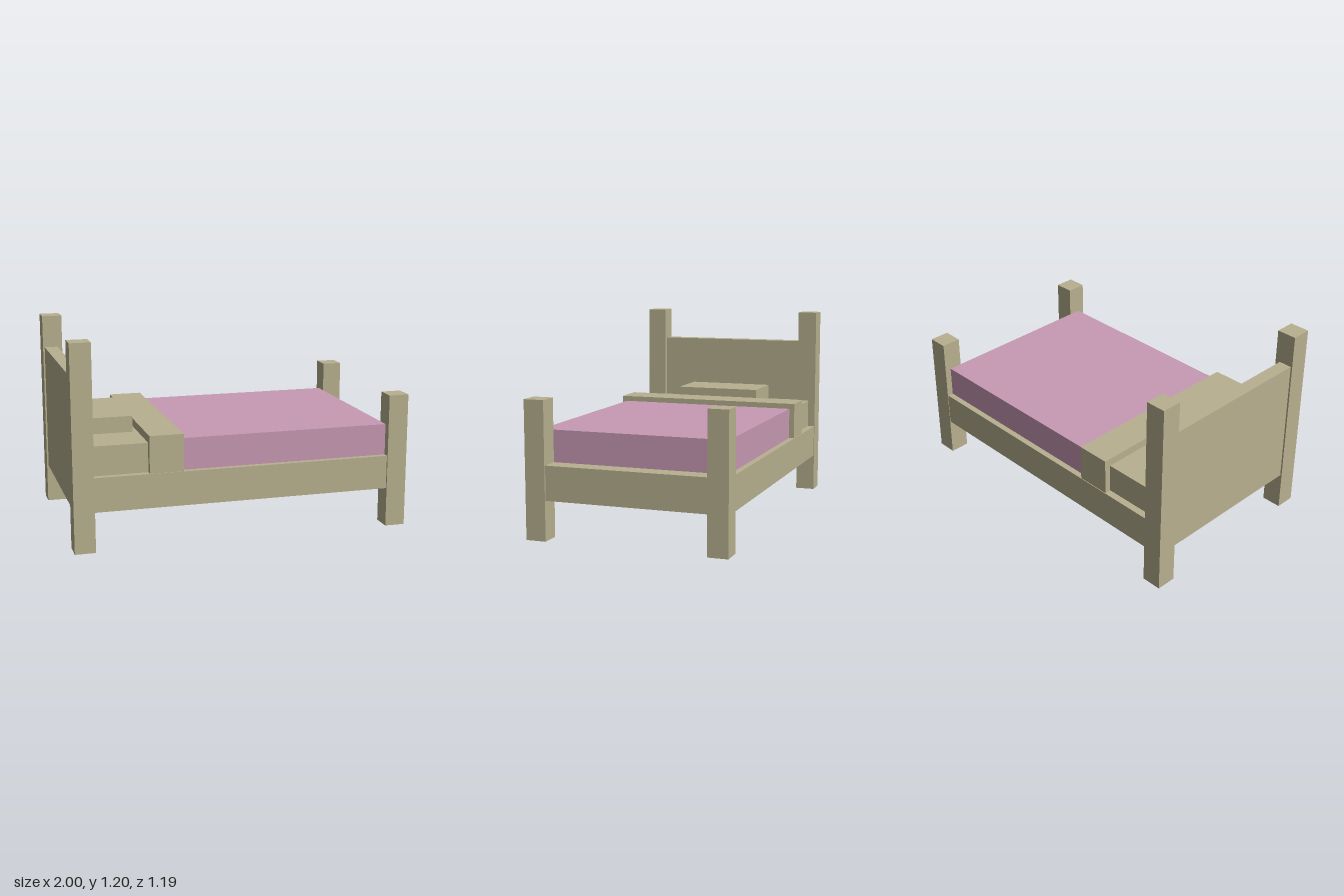
import * as THREE from 'three';

export function createModel() {
  const bed = new THREE.Group();
  bed.name = 'bed';
  const beige = new THREE.MeshStandardMaterial({ color: 0xb8b08f });
  beige.name = 'beige';
  const pink = new THREE.MeshStandardMaterial({ color: 0xc89ab4 });
  pink.name = 'pink';

  // Adds a box spanning the given [min, max] ranges
  function block(name, material, [x0, x1], [y0, y1], [z0, z1]) {
    const mesh = new THREE.Mesh(new THREE.BoxGeometry(x1 - x0, y1 - y0, z1 - z0), material);
    mesh.position.set((x0 + x1) / 2, (y0 + y1) / 2, (z0 + z1) / 2);
    mesh.name = name;
    bed.add(mesh);
  }

  // Corner posts: tall at the head, short at the foot
  for (const z of [[-0.597, -0.477], [0.477, 0.597]]) {
    block('headPost', beige, [-1, -0.88], [0, 1.195], z);
    block('footPost', beige, [0.88, 1], [0, 0.8], z);
  }

  // Solid base and headboard
  block('base', beige, [-0.99, 0.99], [0.232, 0.432], [-0.594, 0.587]);
  block('headboard', beige, [-0.99, -0.91], [0.432, 1], [-0.552, 0.546]);

  // Bedding
  block('mattress', beige, [-0.91, -0.5], [0.432, 0.603], [-0.552, 0.546]);
  block('pillow', beige, [-0.89, -0.592], [0.603, 0.698], [-0.27, 0.265]);
  block('sheetFold', beige, [-0.562, -0.363], [0.432, 0.65], [-0.59, 0.583]);
  block('blanket', pink, [-0.363, 0.88], [0.432, 0.618], [-0.558, 0.552]);

  return bed;
}
